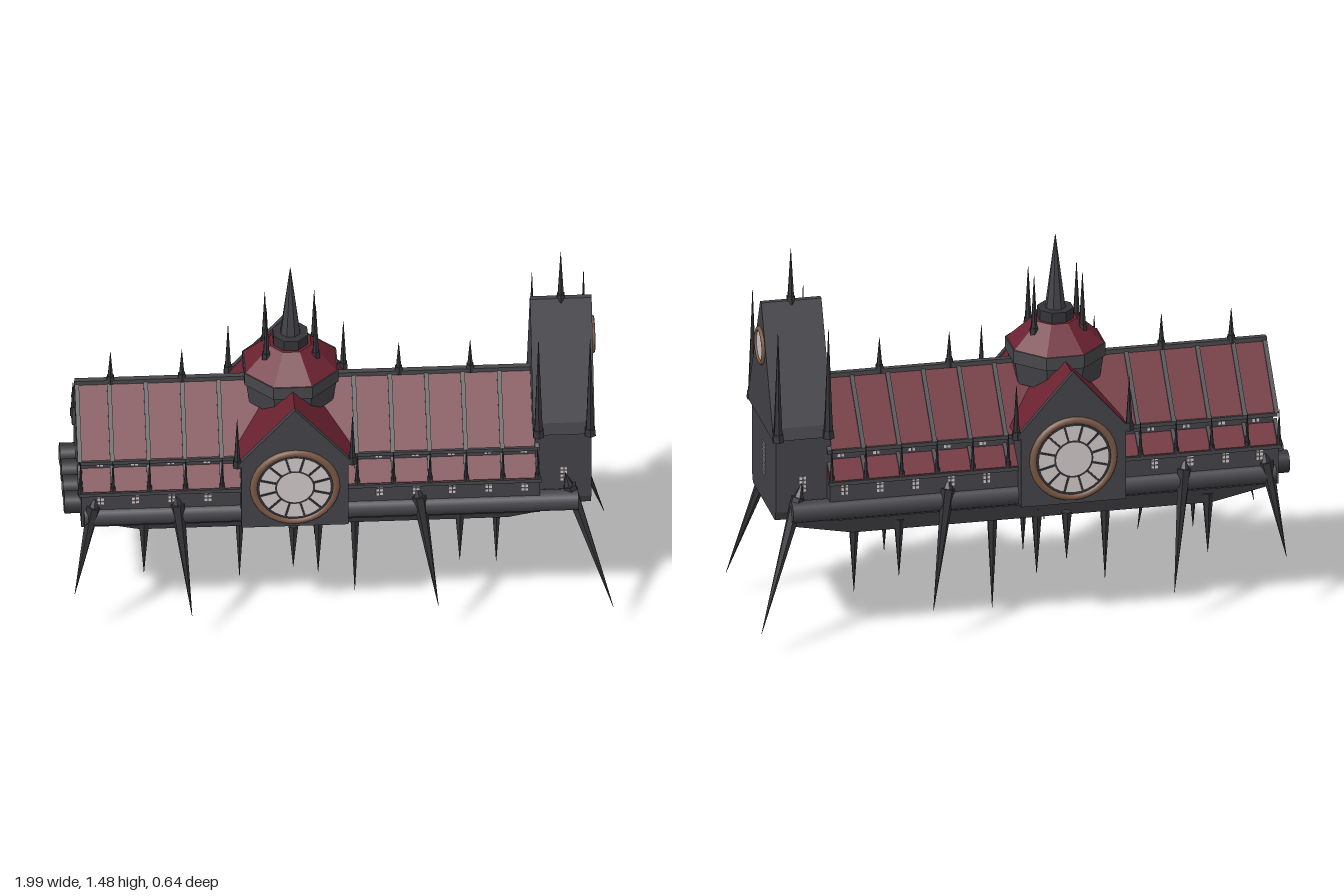
import * as THREE from 'three';

const mat = (name, color) => Object.assign(new THREE.MeshStandardMaterial({ color }), { name });

export function createModel() {
  const root = new THREE.Group();
  const stone = mat('stone', 0x434247), dark = mat('dark iron', 0x343337), trim = mat('roof trim', 0x47474a);
  const red = mat('red roof', 0x6b2231), brown = mat('bronze', 0x7a5846), glass = mat('pale glass', 0xcfc6c6);
  const grey = mat('exhaust grey', 0x858385);
  const V = (x, y, z) => new THREE.Vector3(x, y, z);

  const add = (name, geo, m, parent = root) => {
    const mesh = new THREE.Mesh(geo, m);
    mesh.name = name;
    parent.add(mesh);
    return mesh;
  };
  const facet = (g) => { const n = g.toNonIndexed(); n.computeVertexNormals(); return n; };
  // box given by its limits
  const box = (name, x0, x1, y0, y1, z0, z1, m) => {
    const b = add(name, new THREE.BoxGeometry(x1 - x0, y1 - y0, z1 - z0), m);
    b.position.set((x0 + x1) / 2, (y0 + y1) / 2, (z0 + z1) / 2);
    return b;
  };
  const extrude = (pts, depth) => new THREE.ExtrudeGeometry(
    new THREE.Shape(pts.map(p => new THREE.Vector2(p[0], p[1]))), { depth, bevelEnabled: false });
  // prism along x from [z, y] points, and along z from [x, y] points
  const prismX = (name, pts, x0, x1, m) => {
    const g = extrude(pts.map(([z, y]) => [-z, y]), x1 - x0);
    g.rotateY(Math.PI / 2);
    return add(name, g.translate(x0, 0, 0), m);
  };
  const prismZ = (name, pts, z0, z1, m) => add(name, extrude(pts, z1 - z0).translate(0, 0, z0), m);
  // tapered spike from base to tip
  const spike = (name, a, b, r, sides = 6) => {
    const s = add(name, facet(new THREE.CylinderGeometry(0.0008, r, a.distanceTo(b), sides)), dark);
    s.position.copy(a).lerp(b, 0.5);
    s.quaternion.setFromUnitVectors(V(0, 1, 0), b.clone().sub(a).normalize());
    return s;
  };
  // pinnacle with a small foot
  const pinnacle = (name, x, y, z, top, r) => {
    spike(name, V(x, y, z), V(x, top, z), r);
    const foot = add(name + 'Foot', facet(new THREE.CylinderGeometry(r * 1.1, r * 1.3, 0.03, 6)), dark);
    foot.position.set(x, y + 0.01, z);
  };
  const sides = [1, -1];

  // Long hall: walls, clerestory and main roof
  box('hallWalls', -0.94, 0.73, 0.5, 0.655, -0.25, 0.25, stone);
  box('clerestory', -0.935, 0.73, 0.65, 0.78, -0.185, 0.185, stone);
  prismX('mainRoof', [[0, 0.97], [0.205, 0.76], [-0.205, 0.76]], -0.935, 0.73, red);
  prismX('rearGable', [[0, 0.965], [0.2, 0.755], [-0.2, 0.755]], -0.943, -0.935, stone);
  box('ridgeBeam', -0.95, 0.72, 0.963, 0.98, -0.011, 0.011, trim);
  for (const s of sides) {
    box('roofEave', -0.945, 0.73, 0.748, 0.762, s * 0.205 - 0.008, s * 0.205 + 0.008, trim);
    prismX('aisleRoof', [[s * 0.18, 0.72], [s * 0.255, 0.658], [s * 0.255, 0.645], [s * 0.18, 0.645]], -0.935, 0.73, red);
    box('aisleGutter', -0.95, 0.735, 0.642, 0.656, s * 0.256 - 0.007, s * 0.256 + 0.007, trim);
    const pipe = add('sidePipe', new THREE.CylinderGeometry(0.04, 0.04, 1.8, 16).rotateZ(Math.PI / 2), stone);
    pipe.position.set(-0.03, 0.54, s * 0.232);
  }

  // Rafters with aisle buttresses, and the windows between them
  const ribs = [-0.943, -0.825, -0.692, -0.56, -0.427, 0.065, 0.197, 0.33, 0.462, 0.595, 0.722];
  for (const x of ribs) {
    prismX('rafter', [[0, 0.979], [0.212, 0.762], [0.2, 0.755], [0, 0.96], [-0.2, 0.755], [-0.212, 0.762]], x - 0.008, x + 0.008, trim);
    for (const s of sides) {
      prismX('aisleRafter', [[s * 0.18, 0.728], [s * 0.26, 0.663], [s * 0.26, 0.65], [s * 0.18, 0.65]], x - 0.007, x + 0.007, trim);
      pinnacle('aislePinnacle', x, 0.65, s * 0.25, 0.79, 0.009);
    }
  }
  const lattice = (x, y, z, rows) => {
    for (let r = 0; r < rows; r++) for (const c of sides)
      box('windowPane', x + c * 0.007 - 0.005, x + c * 0.007 + 0.005, y + r * 0.016, y + r * 0.016 + 0.011, z - 0.002, z + 0.002, glass);
  };
  for (const s of sides) {
    for (const x of [-0.885, -0.758, -0.626, -0.494, 0.131, 0.264, 0.396, 0.528, 0.66]) {
      lattice(x + 0.015, 0.601, s * 0.251, 3);
      lattice(x + 0.015, 0.724, s * 0.186, 2);
    }
    lattice(0.82, 0.605, s * 0.201, 4);
  }
  for (const x of [-0.82, -0.56, 0.23, 0.49]) pinnacle('ridgeFinial', x, 0.97, 0, 1.1, 0.013);

  // Crossing hall with a gable and rose window on both fronts
  const cx = -0.165;
  box('transeptWalls', cx - 0.195, cx + 0.195, 0.515, 0.8, -0.285, 0.285, stone);
  prismZ('transeptRoof', [[cx - 0.21, 0.785], [cx + 0.21, 0.785], [cx, 1.018]], -0.288, 0.288, red);
  for (const s of sides) {
    const z = s * 0.297;
    prismZ('transeptGable', [[cx - 0.195, 0.515], [cx + 0.195, 0.515], [cx + 0.195, 0.785], [cx + 0.215, 0.785],
      [cx, 1.03], [cx - 0.215, 0.785], [cx - 0.195, 0.785]], z - 0.01, z + 0.01, stone);
    for (const k of sides) pinnacle('gablePinnacle', cx + k * 0.21, 0.785, s * 0.295, 0.99, 0.014);
    const rose = new THREE.Group();
    rose.name = 'roseWindow';
    rose.position.set(cx, 0.69, s * 0.307);
    if (s < 0) rose.rotation.y = Math.PI;
    root.add(rose);
    add('roseFrame', new THREE.TorusGeometry(0.15, 0.014, 8, 32), brown, rose).scale.z = 0.8;
    add('roseGlass', new THREE.CircleGeometry(0.145, 32), glass, rose).position.z = 0.002;
    add('roseInnerRing', new THREE.RingGeometry(0.066, 0.073, 32), dark, rose).position.z = 0.005;
    add('roseOuterRing', new THREE.RingGeometry(0.13, 0.139, 32), dark, rose).position.z = 0.005;
    for (let i = 0; i < 12; i++) {
      const bar = add('roseSpoke', new THREE.BoxGeometry(0.065, 0.007, 0.004).translate(0.102, 0, 0), dark, rose);
      bar.position.z = 0.004;
      bar.rotation.z = (i + 0.5) * Math.PI / 6;
    }
  }

  // Eight-sided lantern turret and spire
  const octagon = (name, r0, r1, y0, y1, m) => {
    const g = new THREE.CylinderGeometry(r1, r0, y1 - y0, 8).rotateY(Math.PI / 8);
    add(name, facet(g), m).position.set(cx, (y0 + y1) / 2, 0);
  };
  octagon('turretBase', 0.165, 0.178, 0.9, 0.985, stone);
  octagon('turretCornice', 0.185, 0.185, 0.985, 1.035, trim);
  octagon('turretRoof', 0.18, 0.08, 1.035, 1.125, red);
  octagon('spireCollar', 0.068, 0.068, 1.12, 1.165, dark);
  octagon('spire', 0.038, 0.001, 1.165, 1.45, stone);
  for (const sx of sides) for (const sz of sides)
    pinnacle('turretPinnacle', cx + sx * 0.09, 1.085, sz * 0.05, 1.31, 0.014);

  // Tall end tower
  prismX('towerWalls', [[-0.2, 0.82], [-0.2, 0.53], [-0.185, 0.495], [0.185, 0.495], [0.2, 0.53], [0.2, 0.82]], 0.715, 0.92, stone);
  prismX('towerRoof', [[-0.212, 0.815], [0.212, 0.815], [0.2, 0.86], [0.01, 1.28], [-0.01, 1.28], [-0.2, 0.86]], 0.708, 0.932, stone);
  pinnacle('towerFinial', 0.82, 1.27, 0, 1.48, 0.014);
  for (const x of [0.727, 0.915]) for (const s of sides) pinnacle('towerPinnacle', x, 0.82, s * 0.214, 1.24, 0.018);
  const eye = new THREE.Group();
  eye.name = 'towerRoundWindow';
  eye.position.set(0.933, 1.11, 0);
  eye.rotation.y = Math.PI / 2;
  root.add(eye);
  add('eyeFrame', new THREE.TorusGeometry(0.062, 0.01, 8, 24), brown, eye);
  add('eyeGlass', new THREE.CircleGeometry(0.058, 24), glass, eye).position.z = 0.003;
  for (let r = 0; r < 8; r++) for (const c of [-1, 0, 1])
    box('towerPane', 0.919, 0.923, 0.605 + r * 0.016, 0.616 + r * 0.016, c * 0.014 - 0.005, c * 0.014 + 0.005, glass);

  // Four rear exhausts
  for (const z of [-0.15, -0.05, 0.05, 0.15]) {
    const tube = add('exhaust', new THREE.CylinderGeometry(0.042, 0.042, 0.09, 16).rotateZ(Math.PI / 2), dark);
    tube.position.set(-0.952, 0.543, z);
    const end = add('exhaustEnd', new THREE.CircleGeometry(0.035, 16).rotateY(-Math.PI / 2), grey);
    end.position.set(-0.999, 0.543, z);
  }

  // Keel beneath the hall, bow and stern sloped
  prismZ('keel', [[-0.93, 0.475], [-0.93, 0.445], [-0.72, 0.4], [0.62, 0.4], [0.83, 0.44], [0.83, 0.475]], -0.135, 0.135, dark);
  box('keelNeck', -0.9, 0.8, 0.47, 0.505, -0.115, 0.115, dark);

  // Hanging spikes: x, z, top radius, tip height
  for (const [x, z, r, tip] of [[0.07, 0, 0.024, 0.0], [-0.35, 0, 0.024, 0.08], [0.585, 0, 0.024, 0.11], [-0.705, 0.125, 0.022, 0.2],
    [0.445, 0.125, 0.02, 0.21], [-0.07, 0.115, 0.022, 0.17], [-0.165, 0.19, 0.02, 0.25]])
    for (const s of z ? sides : [1]) spike('keelSpike', V(x, 0.435, s * z), V(x, tip, s * z), r);

  // Raking leg spikes along both flanks: top x, tip x, tip y, tip z
  for (const [x, tx, ty, tz] of [[-0.895, -0.965, 0.22, 0.275], [-0.59, -0.54, 0.13, 0.31], [0.29, 0.357, 0.14, 0.31], [0.84, 0.995, 0.1, 0.3]])
    for (const s of sides) {
      const zTop = x > 0.8 ? 0.215 : 0.25;
      spike('legSpike', V(x, 0.59, s * zTop), V(tx, ty, s * tz), 0.026);
      spike('legCap', V(x, 0.58, s * zTop), V(x - (tx - x) * 0.1, 0.64, s * (zTop - 0.01)), 0.022);
    }
  return root;
}
